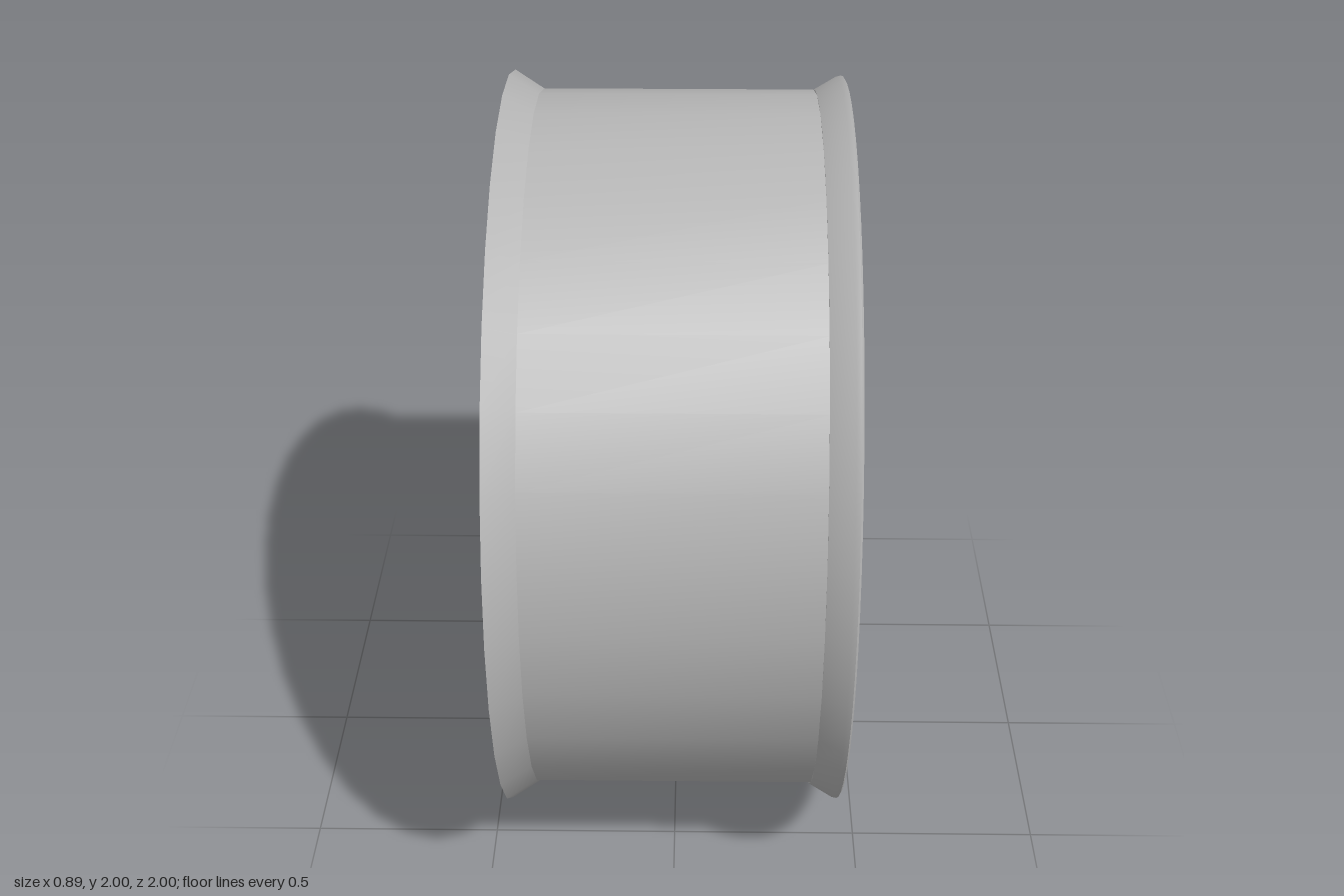
import * as THREE from 'three';
import { toCreasedNormals } from 'three/addons/utils/BufferGeometryUtils.js';

const SECTOR = (Math.PI * 2) / 5;
const V = (x, y) => new THREE.Vector2(x, y);
const rotated = (p, a) => p.clone().rotateAround(V(0, 0), a);

// Height of the dished wheel face at a given radius
const dish = (r) => 0.16 + 0.26 * Math.pow(Math.max(0, (r - 0.15) / 0.77), 0.85);

// Halves every edge longer than the limit, so that a flat plate can be bent smoothly
function subdivide(geometry, limit) {
  const p = geometry.attributes.position;
  const out = [];
  const split = (a, b, c) => {
    const ab = a.distanceTo(b), bc = b.distanceTo(c), ca = c.distanceTo(a);
    const longest = Math.max(ab, bc, ca);
    if (longest <= limit) {
      for (const v of [a, b, c]) out.push(v.x, v.y, v.z);
    } else if (longest === ab) {
      const m = a.clone().add(b).multiplyScalar(0.5);
      split(a, m, c);
      split(m, b, c);
    } else if (longest === bc) split(b, c, a);
    else split(c, a, b);
  };
  const at = (i) => new THREE.Vector3().fromBufferAttribute(p, i);
  for (let i = 0; i < p.count; i += 3) split(at(i), at(i + 1), at(i + 2));
  const result = new THREE.BufferGeometry();
  result.setAttribute('position', new THREE.Float32BufferAttribute(out, 3));
  return result;
}

export function createModel() {
  const mat = (name, color) => {
    const m = new THREE.MeshStandardMaterial({ color });
    m.name = name;
    return m;
  };
  const alloy = mat('alloy grey', 0xb5b5b5);
  const steel = mat('disc grey', 0x58575c);
  const black = mat('black', 0x1f1f1f);
  const nutGrey = mat('nut grey', 0x555557);

  // The wheel is built facing +z, then turned to face +x
  const wheel = new THREE.Group();
  wheel.name = 'wheel';
  const add = (name, geometry, material, parent = wheel) => {
    const mesh = new THREE.Mesh(geometry, material);
    mesh.name = name;
    parent.add(mesh);
    return mesh;
  };
  // Profile of [radius, z] pairs, outside first going up
  const lathe = (points, segments) => toCreasedNormals(
    new THREE.LatheGeometry(points.map(([r, z]) => V(r, z)), segments).rotateX(Math.PI / 2), 0.5);

  // Rim: barrel with rear flange and inner shoulder, and a rounder front lip
  add('barrel', lathe([
    [0.9, -0.443], [1, -0.443], [0.95, -0.365], [0.95, 0.37], [0.93, 0.37],
    [0.92, 0.17], [0.835, 0.08], [0.835, 0.06], [0.9, -0.2], [0.9, -0.443],
  ], 32), alloy);
  add('frontLip', lathe([
    [0.93, 0.365], [0.95, 0.365], [0.985, 0.425], [0.988, 0.438], [0.98, 0.443],
    [0.965, 0.443], [0.95, 0.43], [0.94, 0.41], [0.93, 0.365],
  ], 64), alloy);

  // Spoke star: half of one sector, from the single spoke to the large round opening
  const mid = SECTOR / 2;
  const half = [
    V(0.93, 0.028), V(0.5, 0.043), V(0.468, 0.05), V(0.45, 0.066), V(0.447, 0.085),
    V(0.46, 0.108), V(0.5, 0.14),
    ...[[0.925, -0.105], [0.925, -0.047], [0.5, -0.1], [0.43, -0.113], [0.38, -0.108],
      [0.34, -0.088], [0.312, -0.05]].map(([a, b]) => rotated(V(a, b), mid)),
  ];
  const mirrored = half.map((p) => V(p.x, -p.y)).reverse();
  const outline = [];
  for (let k = 0; k < 5; k++) {
    for (const p of [...mirrored, ...half, rotated(V(0.3, 0), mid)]) outline.push(rotated(p, k * SECTOR));
  }
  const star = new THREE.Shape(outline);
  const triangle = [
    [0.306, 0.012], [0.375, 0.055], [0.392, 0.058], [0.405, 0.046], [0.412, 0],
    [0.405, -0.046], [0.392, -0.058], [0.375, -0.055], [0.306, -0.012],
  ];
  for (let k = 0; k < 5; k++) {
    star.holes.push(new THREE.Path(triangle.map(([x, y]) => rotated(V(x, y), k * SECTOR))));
  }
  const BEVEL = 0.009;
  const DEPTH = 0.075;
  const plate = new THREE.ExtrudeGeometry(star, {
    depth: DEPTH - 2 * BEVEL, bevelEnabled: true, bevelSize: BEVEL, bevelThickness: BEVEL,
    bevelOffset: -BEVEL, bevelSegments: 2,
  });
  const spokes = subdivide(plate, 0.06);
  const pos = spokes.attributes.position;
  for (let i = 0; i < pos.count; i++) {
    const r = Math.hypot(pos.getX(i), pos.getY(i));
    pos.setZ(i, pos.getZ(i) + BEVEL - DEPTH + dish(r));
  }
  add('spokes', toCreasedNormals(spokes, 0.6), alloy);

  // Mounting pad behind the hub, and the cap in front
  add('mountingPad', lathe([[0, 0.03], [0.25, 0.03], [0.25, 0.12], [0, 0.12]], 40), alloy);
  add('centreCap', new THREE.CylinderGeometry(0.098, 0.098, 0.02, 32)
    .rotateX(Math.PI / 2).translate(0, 0, 0.16), black);

  // Feet joining each spoke tip to the inner shoulder: a slim rib on a wider base
  const footPart = (points, width) => new THREE.ExtrudeGeometry(
    new THREE.Shape(points.map(([r, z]) => V(r, z))), { depth: width, bevelEnabled: false })
    .translate(0, 0, -width / 2).rotateX(Math.PI / 2);
  const rib = footPart([[0.94, 0.41], [0.905, 0.4], [0.875, 0.31], [0.85, 0.1], [0.93, 0.17]], 0.055);
  const base = footPart([[0.935, 0.3], [0.915, 0.3], [0.833, 0.1], [0.833, 0.07], [0.935, 0.16]], 0.11);
  const pairAngle = mid - Math.atan2(0.076, 0.925);
  for (let k = 0; k < 5; k++) {
    for (const a of [-pairAngle, 0, pairAngle]) {
      const foot = new THREE.Group();
      foot.name = 'spokeFoot';
      foot.rotation.z = k * SECTOR + a;
      add('rib', rib, alloy, foot);
      add('base', base, alloy, foot);
      wheel.add(foot);
    }
  }

  // Wheel nuts sunk in collars
  const nut = new THREE.CylinderGeometry(0.025, 0.028, 0.025, 6).rotateX(Math.PI / 2);
  const collar = new THREE.TorusGeometry(0.032, 0.007, 8, 20);
  for (let k = 0; k < 5; k++) {
    const a = mid + k * SECTOR;
    const group = new THREE.Group();
    group.name = 'wheelNut';
    group.position.set(0.187 * Math.cos(a), 0.187 * Math.sin(a), dish(0.187) + 0.004);
    add('nut', nut, nutGrey, group);
    add('collar', collar, nutGrey, group);
    wheel.add(group);
  }

  // Air valve on the inner shoulder
  const valve = add('valve', new THREE.CylinderGeometry(0.014, 0.02, 0.12, 12)
    .rotateX(Math.PI / 2), nutGrey);
  valve.position.set(0.41, 0.78, 0.2);

  // Brake disc with its hat
  add('brakeDisc', lathe([
    [0.46, -0.11], [0.68, -0.11], [0.68, -0.03], [0.47, -0.03], [0.47, 0.01], [0.46, 0.01], [0.46, -0.11],
  ], 48), steel);
  add('discHat', lathe([[0, 0.005], [0.462, 0.005], [0.462, 0.022], [0.45, 0.03], [0, 0.03]], 48), black);
  add('hatRing', new THREE.TorusGeometry(0.36, 0.006, 6, 48).translate(0, 0, 0.03), black);
  for (let k = 0; k < 5; k++) {
    const a = mid + k * SECTOR;
    const tab = add('hatTab', new THREE.BoxGeometry(0.035, 0.035, 0.008), steel);
    tab.position.set(0.445 * Math.cos(a), 0.445 * Math.sin(a), 0.032);
    tab.rotation.z = a;
  }

  wheel.rotation.y = Math.PI / 2;
  wheel.position.y = 1;
  const model = new THREE.Group();
  model.name = 'carWheel';
  model.add(wheel);
  return model;
}
